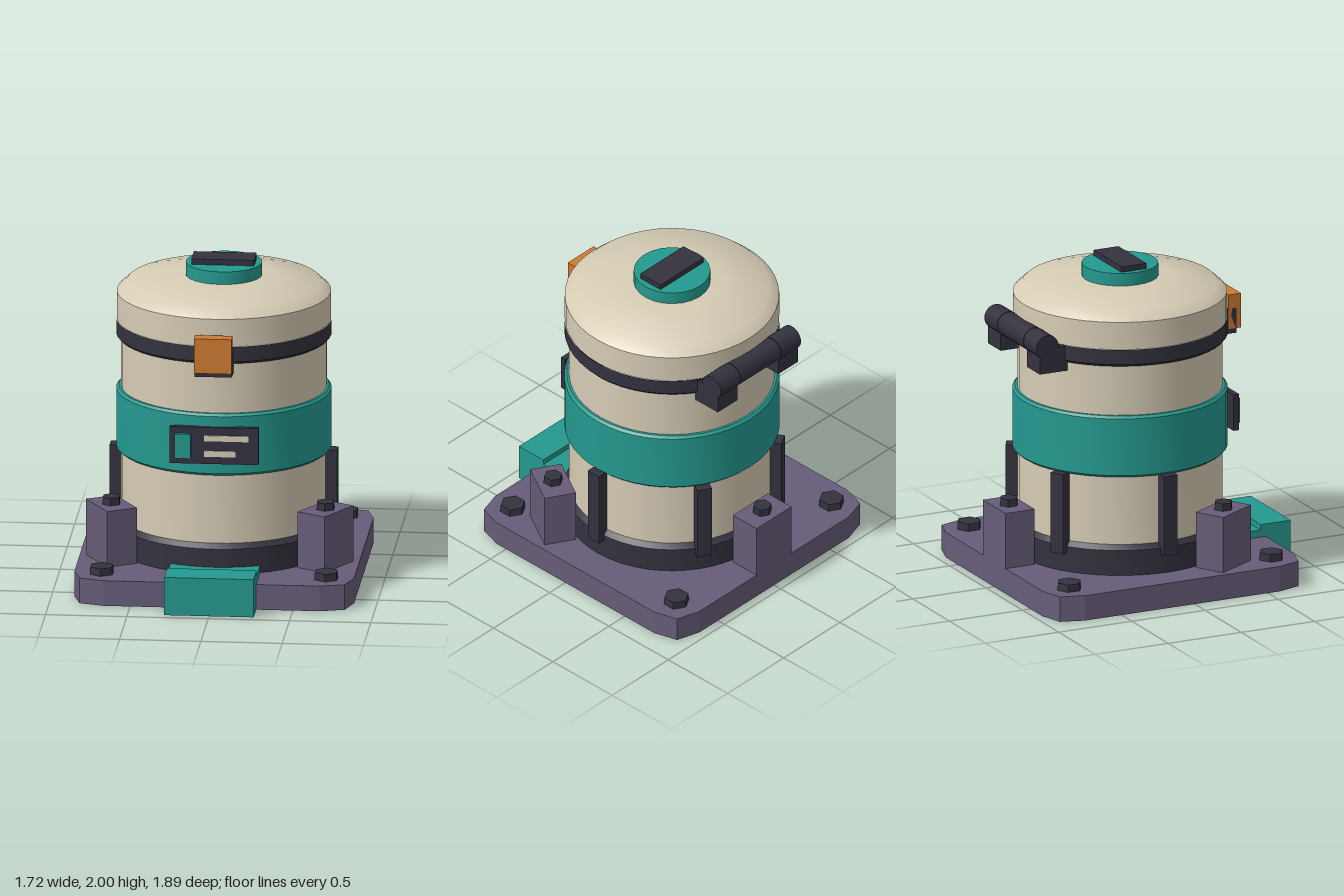
import * as THREE from 'three';
import { toCreasedNormals } from 'three/addons/utils/BufferGeometryUtils.js';

const mat = (name, color) => {
  const m = new THREE.MeshStandardMaterial({ color });
  m.name = name;
  return m;
};

export function createModel() {
  const cream = mat('cream', 0xd6ccb5);
  const dark = mat('charcoal', 0x33323e);
  const teal = mat('teal', 0x24998f);
  const purple = mat('purple', 0x675c79);
  const orange = mat('orange', 0xcd7a32);

  const model = new THREE.Group();
  model.name = 'canister';
  const CZ = -0.085; // z of the vessel axis

  const add = (name, geometry, material, x = 0, y = 0, z = 0, parent = model) => {
    const mesh = new THREE.Mesh(geometry, material);
    mesh.name = name;
    mesh.position.set(x, y, z);
    parent.add(mesh);
    return mesh;
  };
  // Box given by its limits on each axis
  const box = (name, material, [x0, x1], [y0, y1], [z0, z1], parent = model) =>
    add(name, new THREE.BoxGeometry(x1 - x0, y1 - y0, z1 - z0), material,
      (x0 + x1) / 2, (y0 + y1) / 2, (z0 + z1) / 2, parent);
  // Turned part around the vessel axis, profile as [radius, y] from bottom to top
  const turned = (name, material, profile, crease = 0.5) => {
    const g = new THREE.LatheGeometry(profile.map(p => new THREE.Vector2(...p)), 48);
    return add(name, toCreasedNormals(g, crease), material, 0, 0, CZ);
  };
  const bolt = (name, r, h, x, y, z, parent = model) => {
    const g = new THREE.CylinderGeometry(r * 0.96, r, h, 6);
    return add(name, toCreasedNormals(g, 0.5), dark, x, y + h / 2, z, parent);
  };
  // Group turned about the vessel axis; its local +z points outwards
  const radial = (name, angle) => {
    const g = new THREE.Group();
    g.name = name;
    g.position.z = CZ;
    g.rotation.y = angle;
    model.add(g);
    return g;
  };

  // Base plate with faceted corners
  const corner = [[0.86, 0.665], [0.815, 0.815], [0.665, 0.86]];
  const outline = [
    ...corner,
    ...corner.map(([x, y]) => [-x, y]).reverse(),
    ...corner.map(([x, y]) => [-x, -y]),
    ...corner.map(([x, y]) => [x, -y]).reverse(),
  ].map(p => new THREE.Vector2(...p));
  const plate = new THREE.ExtrudeGeometry(new THREE.Shape(outline), { depth: 0.16, bevelEnabled: false });
  plate.rotateX(-Math.PI / 2);
  add('basePlate', plate, purple, 0, 0, CZ);
  for (const x of [-0.69, 0.69])
    for (const z of [-0.69, 0.69]) bolt('plateBolt', 0.08, 0.047, x, 0.16, z + CZ);

  // Foot pedal
  box('pedal', teal, [-0.275, 0.275], [0, 0.24], [0.74, 0.945]);
  box('pedalTongue', teal, [-0.275, 0.275], [0.1, 0.205], [0.5, 0.74]);

  // Vessel, bands and lid
  turned('footRing', dark, [[0.66, 0.15], [0.66, 0.32], [0.63, 0.35], [0.6, 0.35]]);
  turned('body', cream, [[0.63, 0.3], [0.63, 1.55]]);
  turned('middleBand', teal, [[0.62, 0.787], [0.645, 0.787], [0.66, 0.802], [0.66, 1.165], [0.645, 1.18], [0.62, 1.18]]);
  turned('lidSeal', dark, [[0.62, 1.5], [0.648, 1.5], [0.66, 1.515], [0.66, 1.61]]);
  turned('lidWall', cream, [[0.657, 1.61], [0.657, 1.785]]);
  turned('lidDome', cream, [[0.657, 1.785], [0.595, 1.843], [0.31, 1.884], [0, 1.888]], 1.5);
  const knob = new THREE.CylinderGeometry(0.235, 0.235, 0.085, 24);
  add('lidKnob', toCreasedNormals(knob, 0.5), teal, 0, 1.9225, CZ);
  box('knobGrip', dark, [-0.193, 0.193], [1.96, 2], [CZ - 0.085, CZ + 0.085]);

  // Three bolted brackets around the vessel
  for (const i of [0, 1, 2]) {
    const bracket = radial('bracket', Math.PI + i * Math.PI * 2 / 3);
    box('bracketBlock', purple, [-0.155, 0.155], [0.15, 0.515], [0.66, 0.86], bracket);
    const b = bolt('bracketBolt', 0.06, 0.047, 0, 0.515, 0.76, bracket);
    b.rotation.y = -bracket.rotation.y;
  }

  // Side and rear ribs
  for (const deg of [90, 150, 210, 270]) {
    const rib = radial('rib', THREE.MathUtils.degToRad(deg));
    box('ribBar', dark, [-0.047, 0.047], [0.28, 0.79], [0.61, 0.7], rib);
  }

  // Front latch
  box('latchPlate', dark, [-0.115, 0.115], [1.44, 1.6], [0.53, 0.655]);
  box('latch', orange, [-0.115, 0.115], [1.47, 1.69], [0.6, 0.685]);

  // Control panel
  box('panel', dark, [-0.275, 0.272], [0.868, 1.1], [0.555, 0.592]);
  box('panelButton', teal, [-0.24, -0.143], [0.905, 1.06], [0.58, 0.617]);
  box('panelBarUpper', cream, [-0.06, 0.212], [1.014, 1.05], [0.591, 0.6]);
  box('panelBarLower', cream, [-0.06, 0.132], [0.915, 0.952], [0.591, 0.6]);

  // Rear hinge: three barrels and two legs
  for (const [x, length] of [[-0.27, 0.175], [0, 0.355], [0.27, 0.175]]) {
    const g = new THREE.CylinderGeometry(0.077, 0.077, length, 20);
    g.rotateZ(Math.PI / 2);
    add('hingeBarrel', toCreasedNormals(g, 0.5), dark, x, 1.612, -0.758);
  }
  for (const x of [-0.27, 0.27])
    box('hingeLeg', dark, [x - 0.0875, x + 0.0875], [1.445, 1.6], [-0.81, -0.62]);

  return model;
}
